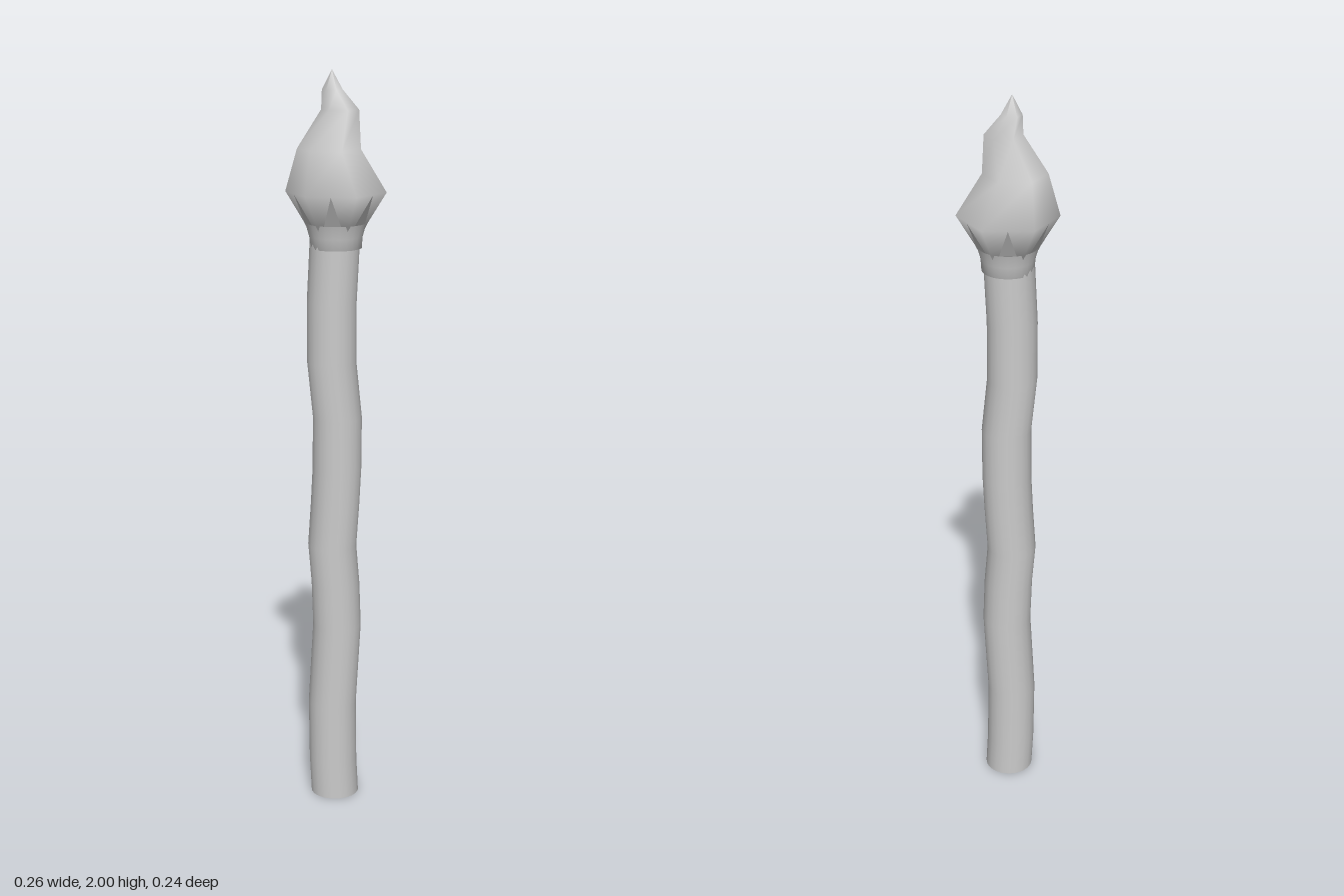
import * as THREE from 'three';

const material = new THREE.MeshStandardMaterial({ color: 0xcccccc, side: THREE.DoubleSide });

function addMesh(group, name, geometry) {
  const mesh = new THREE.Mesh(geometry, material);
  mesh.name = name;
  group.add(mesh);
}

// Skin a list of rings (each with the same number of points) with quads
function loft(rings) {
  const n = rings[0].length;
  const index = [];
  for (let r = 0; r < rings.length - 1; r++) {
    for (let k = 0; k < n - 1; k++) {
      const a = r * n + k, b = a + 1, c = a + n, d = c + 1;
      index.push(a, c, b, b, c, d);
    }
  }
  const geometry = new THREE.BufferGeometry();
  geometry.setAttribute('position', new THREE.Float32BufferAttribute(rings.flat(2), 3));
  geometry.setIndex(index);
  geometry.computeVertexNormals();
  return geometry;
}

const polar = (r, y, angle, cx = 0) => [cx + r * Math.cos(angle), y, r * Math.sin(angle)];

// Round pole whose rows sway from side to side: [height, sideways offset]
function shaftGeometry() {
  const rows = [[0, -0.003], [0.1, -0.008], [0.27, -0.01], [0.5, 0.003], [0.62, -0.001], [0.73, -0.01],
    [0.85, -0.002], [0.95, 0.003], [1.09, 0.004], [1.24, -0.011], [1.4, -0.011], [1.58, -0.002]];
  const geometry = new THREE.CylinderGeometry(0.066, 0.066, 1, 20, rows.length - 1);
  const p = geometry.attributes.position;
  for (let i = 0; i < p.count; i++) {
    const [y, cx] = rows[Math.round((p.getY(i) + 0.5) * (rows.length - 1))];
    p.setX(i, p.getX(i) + cx);
    p.setY(i, y);
  }
  return geometry;
}

// Half of the six-sided flame: [height, radius, sideways offset]
function flameHalf(start) {
  const rows = [[1.58, 0.068, 0], [1.61, 0.083, 0], [1.69, 0.132, 0], [1.8, 0.083, -0.018],
    [1.9, 0.049, 0.011], [1.95, 0.027, -0.009], [2, 0.0005, -0.01]];
  return loft(rows.map(([y, r, cx]) =>
    [0, 1, 2, 3].map((k) => polar(r, y, start + k * Math.PI / 3, cx))));
}

// Thin pointed tooth lying against one side of the flame
function toothGeometry(angle) {
  const half = 0.28;
  const left = polar(0.08, 1.61, angle - half);
  const right = polar(0.08, 1.61, angle + half);
  const tip = polar(0.118, 1.69, angle);
  const geometry = new THREE.BufferGeometry();
  geometry.setAttribute('position', new THREE.Float32BufferAttribute([left, tip, right].flat(), 3));
  geometry.computeVertexNormals();
  return geometry;
}

export function createModel() {
  const model = new THREE.Group();
  model.name = 'torch';

  addMesh(model, 'shaft', shaftGeometry());

  // Flared cup holding the flame
  const cup = [[0.06, 1.545], [0.068, 1.545], [0.07, 1.575], [0.08, 1.61]]
    .map(([r, y]) => new THREE.Vector2(r, y));
  addMesh(model, 'cup', new THREE.LatheGeometry(cup, 24));

  const teeth = new THREE.Group();
  teeth.name = 'cupTeeth';
  for (let k = 0; k < 6; k++) addMesh(teeth, 'cupTooth', toothGeometry((k + 0.5) * Math.PI / 3));
  model.add(teeth);

  // Front and back halves meet in a crisp ridge
  const flame = new THREE.Group();
  flame.name = 'flame';
  addMesh(flame, 'flameFront', flameHalf(0));
  addMesh(flame, 'flameBack', flameHalf(Math.PI));
  model.add(flame);

  return model;
}
